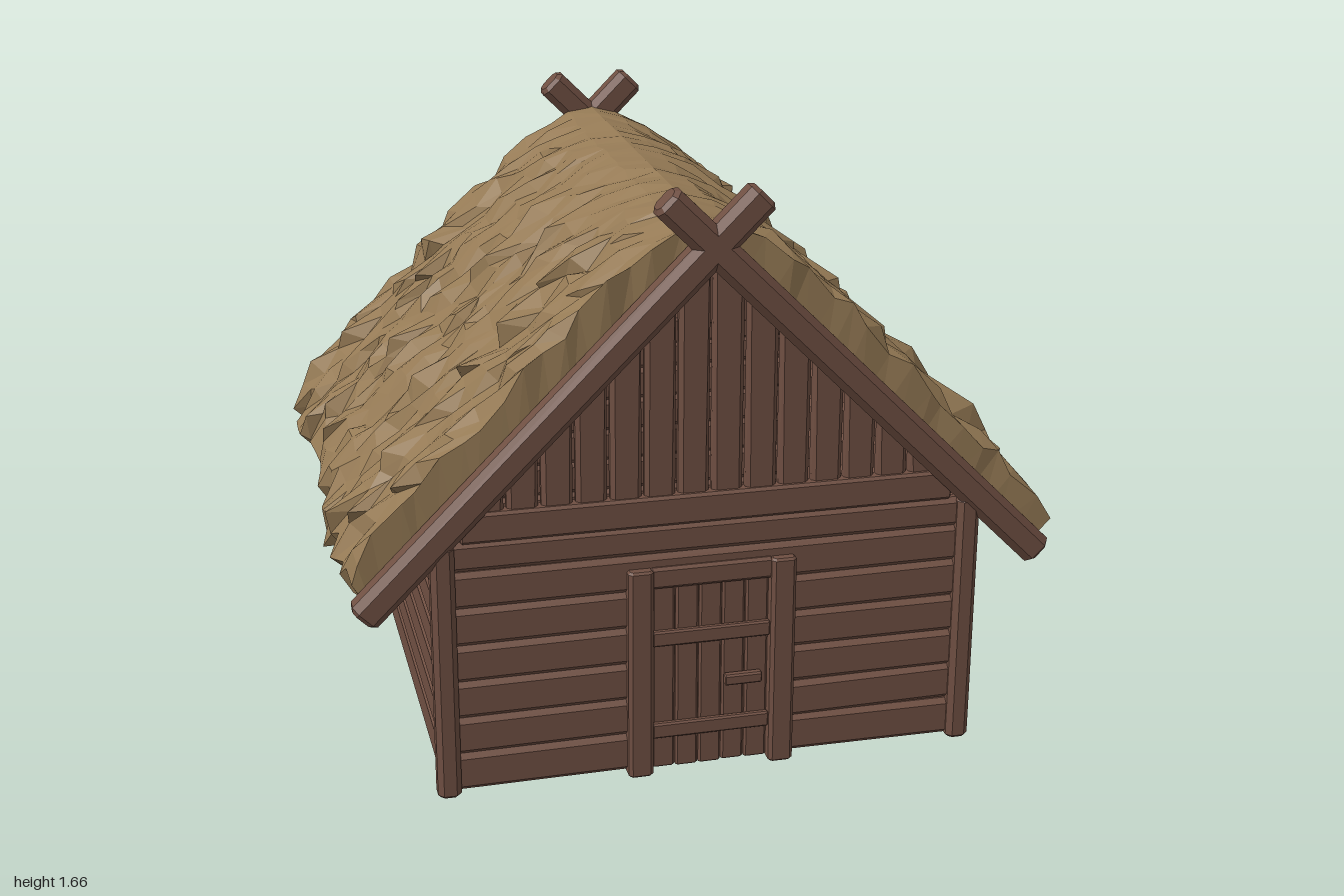
import * as THREE from 'three';

const wood = new THREE.MeshStandardMaterial({ color: 0x6f4f42, flatShading: true });
const straw = new THREE.MeshStandardMaterial({ color: 0x957a55, flatShading: true });

let seed = 7;
const rand = () => (seed = (seed * 16807) % 2147483647) / 2147483647;
const jitter = (a) => (rand() * 2 - 1) * a;

// Timber with all edges chamfered, its length along one axis
function timber(parent, name, size, pos, axis, c = 0.012) {
  const [sx, sy, sz] = size;
  const [w, h, len] = axis === 'x' ? [sz, sy, sx] : axis === 'y' ? [sx, sz, sy] : [sx, sy, sz];
  const a = w / 2, b = h / 2, t = c * 0.6;
  const shape = new THREE.Shape([
    [a, b - c], [a - c, b], [c - a, b], [-a, b - c],
    [-a, c - b], [c - a, -b], [a - c, -b], [a, c - b],
  ].map(([x, y]) => new THREE.Vector2(x, y)));
  const geo = new THREE.ExtrudeGeometry(shape, {
    depth: len - 2 * t, bevelEnabled: true, bevelThickness: t, bevelSize: t, bevelOffset: -t, bevelSegments: 1,
  });
  geo.translate(0, 0, t - len / 2);
  if (axis === 'x') geo.rotateY(Math.PI / 2);
  if (axis === 'y') geo.rotateX(Math.PI / 2);
  const mesh = new THREE.Mesh(geo, wood);
  mesh.name = name;
  mesh.position.set(...pos);
  parent.add(mesh);
  return mesh;
}

function group(parent, name) {
  const g = new THREE.Group();
  g.name = name;
  parent.add(g);
  return g;
}

const ROWS = [0.01, 0.12, 0.227, 0.335, 0.442, 0.55, 0.655, 0.74];

// Stack of horizontal planks; place(y) gives the centre of a plank
function plankStack(parent, length, axis, place) {
  for (let i = 0; i < ROWS.length - 1; i++) {
    const h = ROWS[i + 1] - ROWS[i];
    const size = axis === 'x' ? [length, h, 0.045] : [0.045, h, length];
    const p = timber(parent, 'wallPlank', size, place((ROWS[i] + ROWS[i + 1]) / 2), axis, 0.014);
    if (axis === 'x') p.rotation.z = jitter(0.004);
  }
}

// Gable end: tie beam, upright boards cut to the roof slope, crossed rafters
function gable(parent, name) {
  const g = group(parent, name);
  timber(g, 'tieBeam', [1.36, 0.085, 0.05], [0, 0.78, 0.745], 'x', 0.008);
  const n = 14, w = 1.3 / n, gap = 0.004, bevel = 0.012;
  for (let i = 0; i < n; i++) {
    const x0 = -0.65 + i * w + gap, x1 = x0 + w - 2 * gap;
    const shape = new THREE.Shape([
      [x0, 0.79], [x1, 0.79], [x1, 1.49 - Math.abs(x1)], [x0, 1.49 - Math.abs(x0)],
    ].map(([x, y]) => new THREE.Vector2(x, y)));
    const geo = new THREE.ExtrudeGeometry(shape, {
      depth: 0.015, bevelEnabled: true, bevelThickness: bevel, bevelSize: bevel, bevelOffset: -bevel, bevelSegments: 1,
    });
    const board = new THREE.Mesh(geo, wood);
    board.name = 'gableBoard';
    board.position.z = 0.728 + jitter(0.003);
    g.add(board);
  }
  for (const s of [1, -1]) {
    const rafter = timber(g, 'rafter', [0.09, 1.525, 0.08], [s * 0.407, 1.095, 0.758], 'y', 0.02);
    rafter.rotation.z = s * Math.PI / 4;
  }
  return g;
}

function door(parent) {
  const g = group(parent, 'door');
  for (const s of [1, -1]) timber(g, 'doorPost', [0.07, 0.62, 0.075], [s * 0.2, 0.31, 0.758], 'y', 0.01);
  timber(g, 'lintel', [0.34, 0.062, 0.05], [0, 0.59, 0.755], 'x', 0.008);
  for (let i = 0; i < 5; i++) {
    timber(g, 'doorPlank', [0.064, 0.55, 0.03], [(i - 2) * 0.066, 0.285, 0.75 + jitter(0.003)], 'y', 0.006);
  }
  for (const y of [0.13, 0.41]) timber(g, 'doorBatten', [0.33, 0.045, 0.02], [0, y, 0.772], 'x', 0.005);
  timber(g, 'doorHandle', [0.105, 0.032, 0.025], [0.09, 0.267, 0.778], 'x', 0.005);
}

// Shaggy thatch: a roof section lofted along z, with ragged tufts on its outside
function thatch(parent) {
  const half = [[0.1, 1.525], [0.2, 1.465], [0.4, 1.285], [0.6, 1.08], [0.8, 0.87], [0.93, 0.72], [0.97, 0.63], [0.93, 0.575]];
  const pts = [...half.slice().reverse().map(([x, y]) => [-x, y]), [0, 1.55], ...half];
  const N = 36, NZ = 30, Z = 0.735;
  const profile = new THREE.SplineCurve(pts.map(([x, y]) => new THREE.Vector2(x, y))).getSpacedPoints(N);
  const rings = [];
  for (let i = 0; i <= NZ; i++) {
    const z = -Z + (2 * Z * i) / NZ;
    const end = i === 0 || i === NZ;
    const outer = profile.map((p) => {
      const s = Math.sign(p.x);
      const rough = Math.min(1, Math.abs(p.x) / 0.25);
      const tuft = !end && rand() < 0.1 ? 1 : 0;
      const out = rough * (jitter(0.02) + tuft * 0.03) + jitter(0.004);
      const down = rough * (jitter(0.022) + tuft * 0.045);
      const x = p.x + s * (out + down) * 0.7;
      return new THREE.Vector3(
        THREE.MathUtils.clamp(x, -1, 1),
        Math.max(0.55, p.y + (out - down) * 0.7),
        end ? z + jitter(0.008) : z + jitter(0.016));
    });
    const inner = profile.map((p) => new THREE.Vector3(p.x * 0.94, 1.46 - Math.abs(p.x * 0.94), z));
    rings.push([...outer, ...inner.reverse()]);
  }
  const pos = [];
  const quad = (a, b, c, d) => [a, b, c, a, c, d].forEach((v) => pos.push(v.x, v.y, v.z));
  const M = rings[0].length;
  for (let i = 0; i < NZ; i++) {
    for (let k = 0; k < M; k++) {
      const m = (k + 1) % M;
      quad(rings[i][k], rings[i + 1][k], rings[i + 1][m], rings[i][m]);
    }
  }
  // End faces
  const back = rings[0], front = rings[NZ];
  for (let k = 0; k < N; k++) {
    const j = M - 1 - k;
    quad(front[j], front[j - 1], front[k + 1], front[k]);
    quad(back[k], back[k + 1], back[j - 1], back[j]);
  }
  const geo = new THREE.BufferGeometry();
  geo.setAttribute('position', new THREE.Float32BufferAttribute(pos, 3));
  geo.computeVertexNormals();
  const mesh = new THREE.Mesh(geo, straw);
  mesh.name = 'thatchRoof';
  parent.add(mesh);
}

export function createModel() {
  const hut = new THREE.Group();
  hut.name = 'hut';

  // Corner posts
  for (const x of [-1, 1]) for (const z of [-1, 1]) {
    timber(hut, 'cornerPost', [0.065, 0.74, 0.065], [x * 0.731, 0.37, z * 0.755], 'y', 0.015);
  }

  // Walls: the front one is split by the door
  const front = group(hut, 'frontWall');
  for (const s of [1, -1]) plankStackFront(front, s);
  const back = group(hut, 'backWall');
  plankStack(back, 1.42, 'x', (y) => [0, y, -0.745]);
  for (const s of [1, -1]) {
    const side = group(hut, s > 0 ? 'leftWall' : 'rightWall');
    plankStack(side, 1.46, 'z', (y) => [s * 0.722, y, 0]);
  }
  door(hut);

  gable(hut, 'frontGable');
  gable(hut, 'backGable').rotation.y = Math.PI;
  thatch(hut);
  return hut;
}

// Front planks beside the door, with full-width ones above it
function plankStackFront(parent, s) {
  for (let i = 0; i < ROWS.length - 1; i++) {
    const y = (ROWS[i] + ROWS[i + 1]) / 2, h = ROWS[i + 1] - ROWS[i];
    const x0 = y > 0.6 ? 0 : 0.19;
    if (x0 === 0 && s < 0) continue;
    const [len, cx] = x0 === 0 ? [1.42, 0] : [0.71 - x0, s * (0.71 + x0) / 2];
    const p = timber(parent, 'wallPlank', [len, h, 0.045], [cx, y, 0.745], 'x', 0.014);
    p.rotation.z = jitter(0.008);
  }
}
